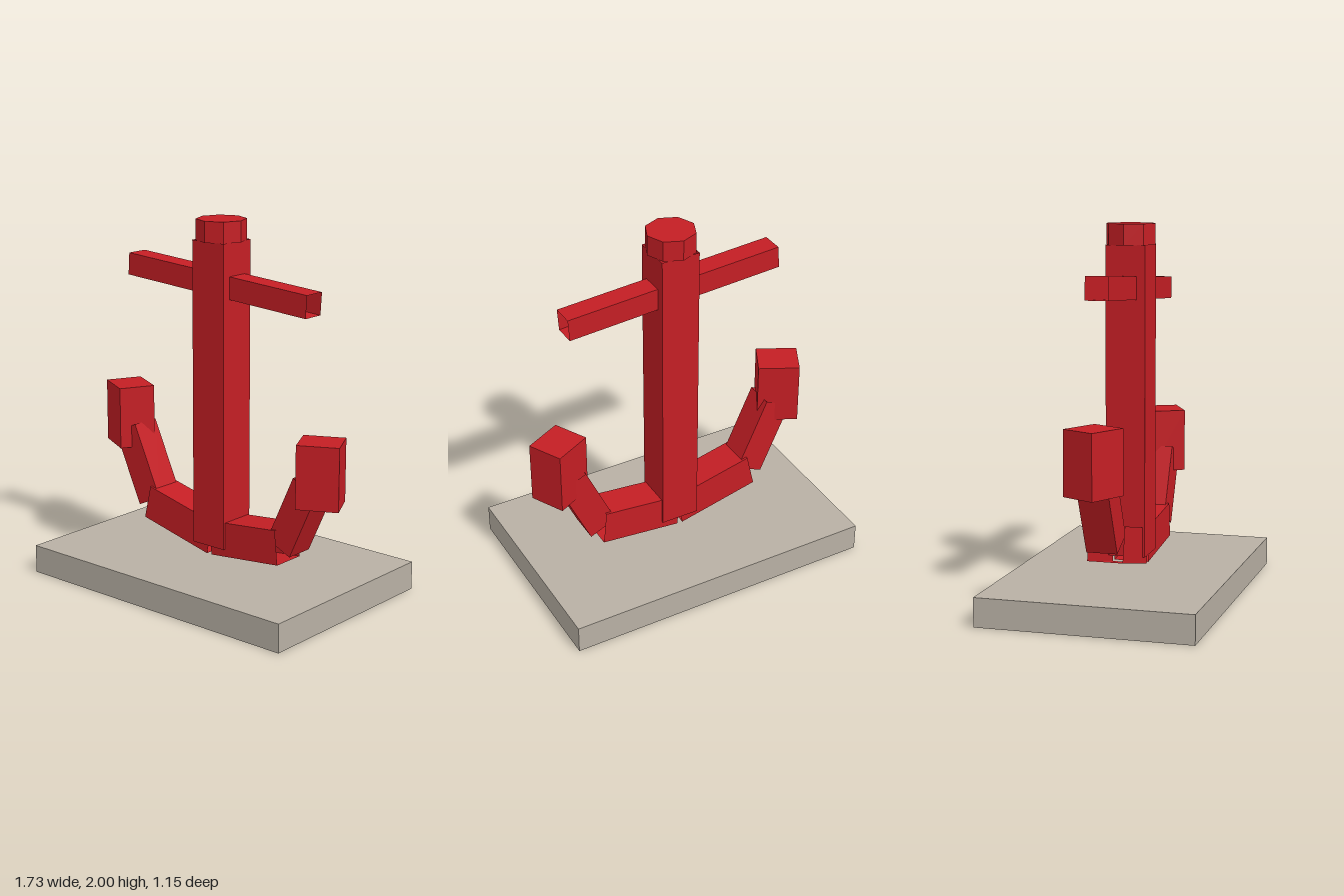
import * as THREE from 'three';

const red = new THREE.MeshStandardMaterial({ color: 0xc41e24, flatShading: true, side: THREE.DoubleSide });
const stone = new THREE.MeshStandardMaterial({ color: 0xb8b0a4, flatShading: true });

export function createModel() {
  const model = new THREE.Group();
  model.name = 'anchorOnPlinth';

  function add(name, geometry, material, x, y, z = 0) {
    const mesh = new THREE.Mesh(geometry, material);
    mesh.name = name;
    mesh.position.set(x, y, z);
    model.add(mesh);
    return mesh;
  }

  // Square tube without end faces, running along y
  function squareTube(width, length) {
    return new THREE.CylinderGeometry(width / Math.SQRT2, width / Math.SQRT2, length, 4, 1, true, Math.PI / 4);
  }

  // Tube whose axis is tilted in the xy plane, in degrees from +x
  function beam(name, width, length, x, y, degrees) {
    add(name, squareTube(width, length), red, x, y).rotation.z = THREE.MathUtils.degToRad(degrees - 90);
  }

  // Plinth
  add('plinth', new THREE.BoxGeometry(1.73, 0.155, 1.15), stone, 0, 0.0775);

  // Upright shank with an octagonal cap
  beam('shank', 0.215, 1.66, 0, 1.06, 90);
  add('cap', new THREE.CylinderGeometry(0.134, 0.134, 0.112, 8), red, 0, 1.944);

  // Slightly crooked crossbar
  beam('crossbar', 0.121, 1.227, 0, 1.66, -3.7);

  // Hand-set arms: the two sides differ a little in height and tilt
  beam('rightLowerArm', 0.19, 0.472, -0.23, 0.324, 166.9);
  beam('leftLowerArm', 0.19, 0.46, 0.23, 0.2965, 5.9);
  beam('rightUpperArm', 0.165, 0.43, -0.5475, 0.574, 114.5);
  beam('leftUpperArm', 0.165, 0.405, 0.5475, 0.503, 65.5);

  // Block flukes, turned about the vertical
  for (const [name, side, y] of [['rightFluke', -1, 0.838], ['leftFluke', 1, 0.75]]) {
    const fluke = add(name, new THREE.BoxGeometry(0.225, 0.343, 0.2), red, side * 0.673, y);
    fluke.rotation.y = side * THREE.MathUtils.degToRad(27);
  }

  return model;
}
